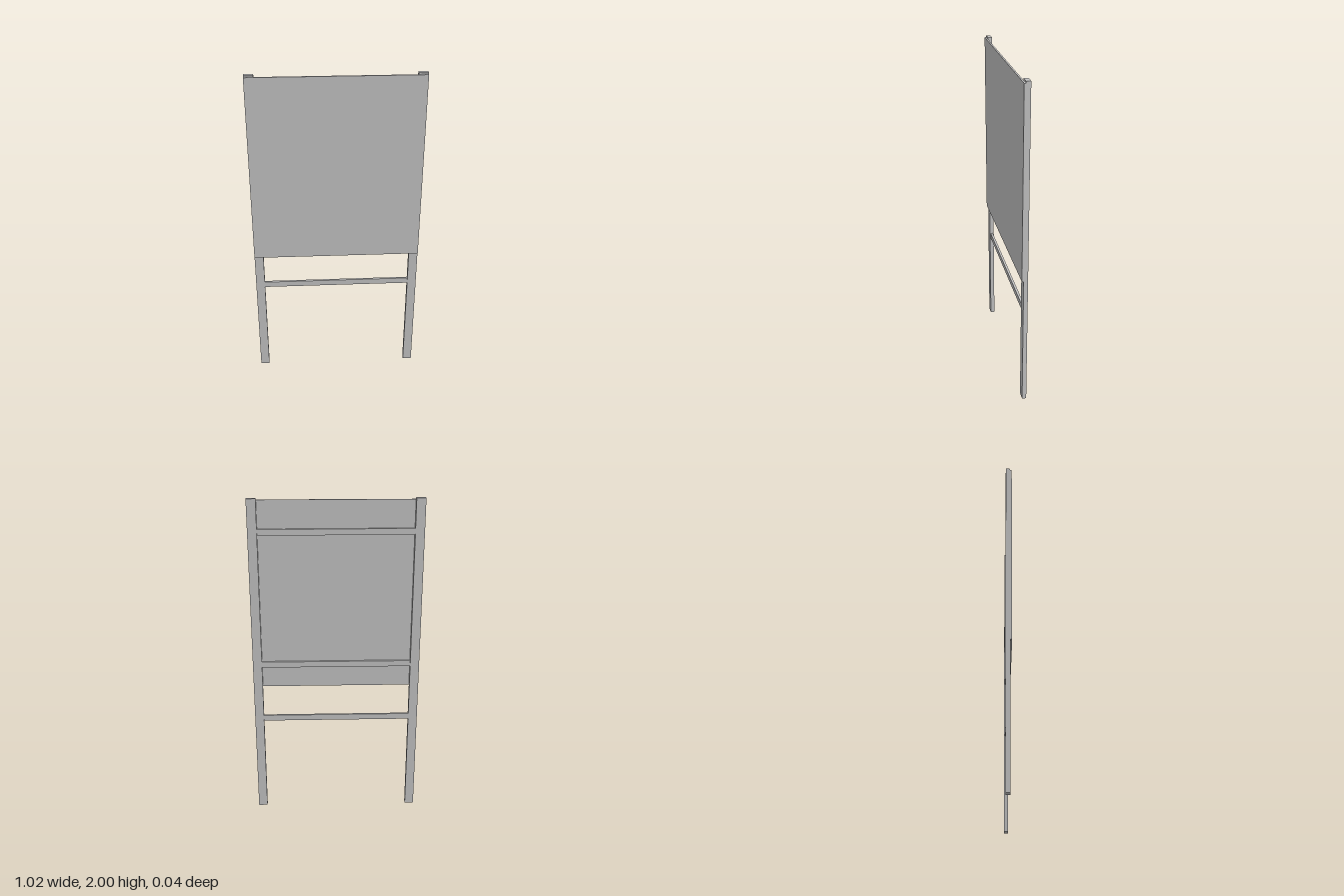
import * as THREE from 'three';

export function createModel() {
  const model = new THREE.Group();
  model.name = 'signboardStand';

  const grey = new THREE.MeshStandardMaterial({ color: 0xc6c6c6 });
  grey.name = 'light grey';

  // Adds a box given by its lower and upper limits on each axis
  function addBox(name, [x0, x1], [y0, y1], [z0, z1]) {
    const mesh = new THREE.Mesh(new THREE.BoxGeometry(x1 - x0, y1 - y0, z1 - z0), grey);
    mesh.position.set((x0 + x1) / 2, (y0 + y1) / 2, (z0 + z1) / 2);
    mesh.name = name;
    model.add(mesh);
  }

  const halfWidth = 0.51;
  const inner = 0.455;
  const postFront = 0.008;

  // Two upright posts
  addBox('leftPost', [inner, halfWidth], [0, 2], [-0.018, postFront]);
  addBox('rightPost', [-halfWidth, -inner], [0, 2], [-0.018, postFront]);

  // Flat board on the front of the posts
  addBox('board', [-halfWidth, halfWidth], [0.843, 1.99], [postFront, 0.018]);

  // Cross rails between the posts
  const rails = { lowerRail: 0.633, middleRail: 0.993, upperRail: 1.808 };
  for (const [name, y] of Object.entries(rails)) {
    addBox(name, [-inner, inner], [y - 0.018, y + 0.018], [-0.011, 0.003]);
  }

  return model;
}
